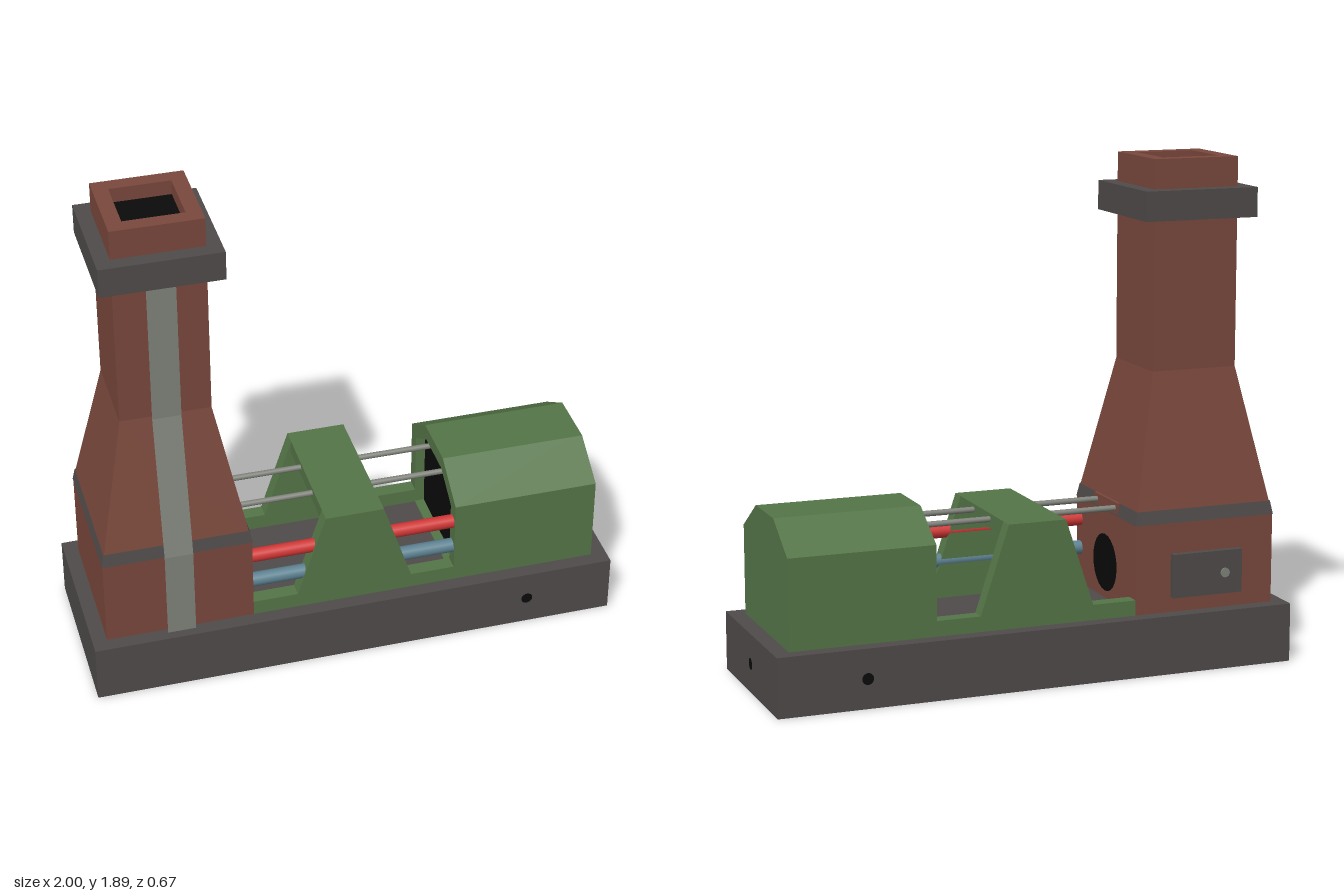
import * as THREE from 'three';

const mat = (name, color) => {
  const m = new THREE.MeshStandardMaterial({ color, side: THREE.DoubleSide });
  m.name = name;
  return m;
};

export function createModel() {
  const brick = mat('brick', 0x7a483c);
  const dark = mat('darkStone', 0x4f4b4a);
  const green = mat('green', 0x557548);
  const steel = mat('steel', 0x80837b);
  const red = mat('red', 0xd03635);
  const blue = mat('blue', 0x5c8191);
  const black = mat('black', 0x0a0a0a);

  const model = new THREE.Group();
  const add = (name, geo, material, x = 0, y = 0, z = 0, parent = model) => {
    const mesh = new THREE.Mesh(geo, material);
    mesh.name = name;
    mesh.position.set(x, y, z);
    parent.add(mesh);
    return mesh;
  };
  // box given by its minimum and maximum corners
  const box = (name, material, [x0, y0, z0], [x1, y1, z1]) =>
    add(name, new THREE.BoxGeometry(x1 - x0, y1 - y0, z1 - z0), material,
      (x0 + x1) / 2, (y0 + y1) / 2, (z0 + z1) / 2);
  // square tower from [half width, height] pairs
  const tower = (pairs) => {
    const pts = pairs.map(([h, y]) => new THREE.Vector2(h * Math.SQRT2, y));
    const geo = new THREE.LatheGeometry(pts, 4, Math.PI / 4).toNonIndexed();
    geo.computeVertexNormals();
    return geo;
  };
  const shapeOf = (pairs) => new THREE.Shape(pairs.map(([x, y]) => new THREE.Vector2(x, y)));
  const extrude = (shape, depth) => new THREE.ExtrudeGeometry(shape, { depth, bevelEnabled: false });
  const rodX = (name, material, r, x0, x1, y, z) =>
    add(name, new THREE.CylinderGeometry(r, r, x1 - x0, 16).rotateZ(Math.PI / 2),
      material, (x0 + x1) / 2, y, z);

  // base with small round holes
  const top = 0.222;
  box('base', dark, [-1, 0, -0.333], [1, top, 0.333]);
  const dot = () => new THREE.CircleGeometry(0.022, 16);
  add('frontHole', dot(), black, 0.667, 0.111, 0.335);
  add('backHole', dot().rotateY(Math.PI), black, 0.667, 0.111, -0.335);
  add('sideHole', dot().rotateY(Math.PI / 2), black, 1.002, 0.111, 0);

  // chimney
  const cx = -0.667;
  add('chimney', tower([[0.278, top], [0.278, 0.56], [0.167, 1.11], [0.167, 1.89],
    [0.111, 1.89], [0.111, 1.8]]), brick, cx);
  add('flueOpening', new THREE.PlaneGeometry(0.222, 0.222).rotateX(-Math.PI / 2), black, cx, 1.835, 0);
  add('chimneyCollar', tower([[0.16, 1.67], [0.222, 1.67], [0.222, 1.78], [0.16, 1.78]]), dark, cx);
  add('chimneyBand', tower([[0.28, 0.56], [0.271, 0.61]]), dark, cx);

  // upright strip that follows the front of the chimney
  const strip = [[top, 0.298], [0.57, 0.298], [1.11, 0.187], [1.67, 0.187]];
  const stripGeo = new THREE.PlaneGeometry(0.106, 1, 1, 3);
  const pos = stripGeo.attributes.position;
  for (let i = 0; i < pos.count; i++) {
    const [y, z] = strip[3 - Math.floor(i / 2)];
    pos.setY(i, y);
    pos.setZ(i, z);
  }
  const flatStrip = stripGeo.toNonIndexed();
  flatStrip.computeVertexNormals();
  add('chimneyStrip', flatStrip, steel, cx);

  // fire door at the back
  box('fireDoor', dark, [-0.81, 0.28, -0.304], [-0.53, 0.445, -0.27]);
  add('doorKnob', new THREE.CylinderGeometry(0.018, 0.018, 0.006, 16).rotateX(Math.PI / 2),
    steel, -0.74, 0.36, -0.306);

  // fire opening and rod bracket on the inner side of the chimney
  add('fireOpening', new THREE.CircleGeometry(0.11, 24).rotateY(Math.PI / 2), black, -0.386, 0.36, 0);
  box('rodBracket', brick, [-0.43, 0.56, -0.111], [-0.388, 0.61, 0.111]);

  // middle frame: two side walls joined by a top plate
  const wall = shapeOf([[-0.39, top], [0.39, top], [0.39, 0.28], [0.22, 0.28],
    [0.111, 0.61], [-0.111, 0.61], [-0.22, 0.28], [-0.39, 0.28]]);
  for (const [name, z] of [['frontWall', 0.222], ['backWall', -0.278]])
    add(name, extrude(wall, 0.056), green, 0, 0, z);
  box('topPlate', green, [-0.111, 0.555, -0.222], [0.111, 0.61, 0.222]);

  // housing: hollow shell with a closed outer end
  const profile = [[-0.278, top], [0.278, top], [0.278, 0.56], [0.111, 0.668], [-0.111, 0.668], [-0.278, 0.56]];
  const inner = [[-0.222, top + 0.004], [0.222, top + 0.004], [0.222, 0.53], [0.095, 0.612], [-0.095, 0.612], [-0.222, 0.53]];
  const shell = shapeOf(profile);
  shell.holes.push(shapeOf(inner));
  add('housing', extrude(shell, 0.5).rotateY(Math.PI / 2), green, 0.388);
  add('housingEnd', extrude(shapeOf(profile), 0.052).rotateY(Math.PI / 2), green, 0.888);
  add('housingInside', extrude(shapeOf(inner), 0.46).rotateY(Math.PI / 2), black, 0.425);

  // pipes and upper rods
  rodX('redPipe', red, 0.026, -0.4, 0.4, 0.475, 0.247);
  rodX('bluePipe', blue, 0.027, -0.4, 0.4, 0.362, 0.247);
  for (const z of [-0.083, 0.083]) rodX('upperRod', steel, 0.011, -0.4, 0.43, 0.588, z);

  return model;
}
